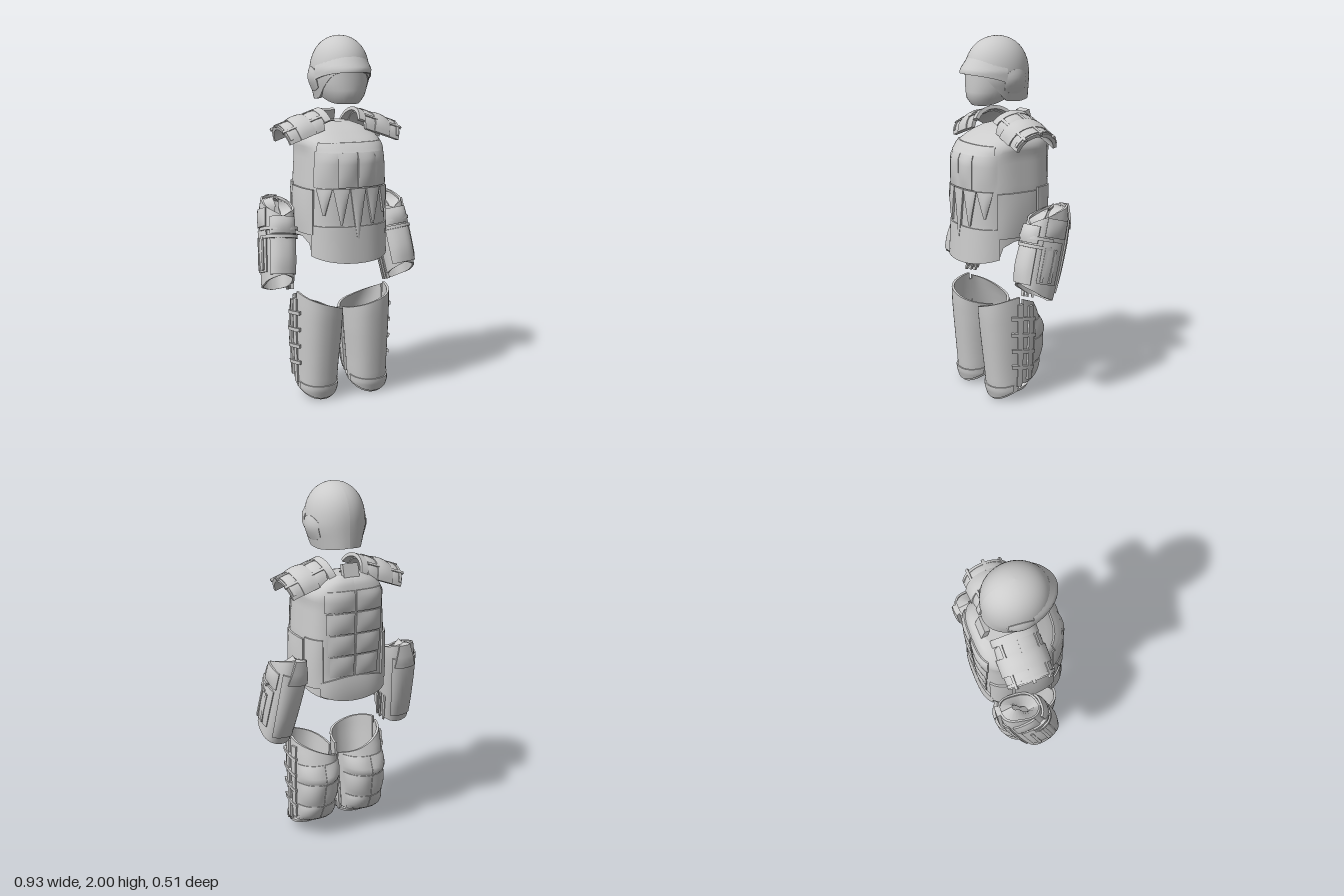
import * as THREE from 'three';

const material = new THREE.MeshStandardMaterial({ color: 0xcccccc });
const PI = Math.PI;

// Piecewise linear curve through [x, y] points
const curve = (...pts) => (x) => {
  let i = 0;
  while (i < pts.length - 2 && x > pts[i + 1][0]) i++;
  const [[x0, y0], [x1, y1]] = [pts[i], pts[i + 1]];
  return y0 + (y1 - y0) * THREE.MathUtils.clamp((x - x0) / (x1 - x0), 0, 1);
};

// Body surface from rows [y, centre x, centre z, half width, front depth, back depth];
// angle 0 faces the front and grows towards +x
function bodySurface(rows, pFront = 2.4, pBack = 2.4) {
  const col = [1, 2, 3, 4, 5].map((c) => curve(...rows.map((r) => [r[0], r[c]])));
  return (a, y, off) => {
    const [cx, cz, rx, rf, rb] = col.map((f) => f(y));
    const s = Math.sin(a), c = Math.cos(a), p = c > 0 ? pFront : pBack;
    const r = (Math.abs(s / rx) ** p + Math.abs(c / (c > 0 ? rf : rb)) ** p) ** (-1 / p) + off;
    return [cx + s * Math.max(r, 0), y, cz + c * Math.max(r, 0)];
  };
}

// Curved plate with thickness, laid on a surface: a = angle range, lo / hi = lower and
// upper edges (numbers or functions of u in -1..1), out = inner and outer offset
function plate(parent, name, surf, a, lo, hi, out, o = {}) {
  const { nu = 10, nv = 6, bulge = 0, pinch = 1, ease = (v) => v } = o;
  const edge = (e, u) => (typeof e === 'function' ? e(u) : e);
  const g = new THREE.BoxGeometry(2, 1, 1, nu, nv, 1);
  const p = g.attributes.position;
  for (let i = 0; i < p.count; i++) {
    const u = p.getX(i), v = p.getY(i) + 0.5, outer = p.getZ(i) > 0;
    const angle = (a[0] + a[1]) / 2 + ((a[1] - a[0]) / 2) * u * (pinch + (1 - pinch) * v);
    const y0 = edge(lo, u), y = y0 + (edge(hi, u) - y0) * ease(v);
    const dome = outer ? bulge * (1 - u * u) * 4 * v * (1 - v) : 0;
    p.setXYZ(i, ...surf(angle, y, (outer ? out[1] : out[0]) + dome));
  }
  g.computeVertexNormals();
  const mesh = new THREE.Mesh(g, material);
  mesh.name = name;
  parent.add(mesh);
}

function group(name, ...children) {
  const g = new THREE.Group();
  g.name = name;
  if (children.length) g.add(...children);
  return g;
}

function helmet() {
  const g = group('helmet');
  const shell = (a, y, off) => {
    const k = THREE.MathUtils.clamp((y - 1.77) / 0.225, 0, 1);
    const r = y > 1.77 ? Math.sqrt(1 - k ** 2.6) : 1 - 1.7 * (1.77 - y);
    const c = Math.cos(a);
    return [Math.sin(a) * (0.157 + off) * r, y + off * k, c * ((c > 0 ? 0.182 : 0.174) + off) * (c < 0 && y < 1.77 ? 1 : r)];
  };
  const hem = curve([0, 1.82], [0.22, 1.79], [0.34, 1.72], [0.43, 1.665], [0.6, 1.655], [1, 1.67]);
  plate(g, 'helmetDome', shell, [-PI, PI], (u) => hem(Math.abs(u)), 1.995, [-0.015, 0.003],
    { nu: 40, nv: 14, ease: (v) => Math.sin((v * PI) / 2) });
  const brow = bodySurface([[1.74, 0, 0, 0.165, 0.21, 0.17], [1.82, 0, 0, 0.163, 0.216, 0.17],
    [1.89, 0, 0, 0.135, 0.165, 0.15]], 2);
  plate(g, 'helmetBrim', brow, [-1.35, 1.35], (u) => 1.805 - 0.045 * u * u, (u) => 1.885 - 0.04 * u * u,
    [-0.03, 0], { nu: 20 });
  const face = bodySurface([[1.635, 0, 0.03, 0.085, 0.12, 0.1], [1.67, 0, 0.01, 0.116, 0.167, 0.1],
    [1.73, 0, 0, 0.142, 0.18, 0.1], [1.84, 0, 0, 0.148, 0.178, 0.1]], 2.2);
  plate(g, 'visor', face, [-1.55, 1.55], (u) => 1.635 + 0.05 * u ** 4, 1.85, [-0.012, 0], { nu: 20 });
  for (const s of [-1, 1]) {
    const a = s > 0 ? [1.3, 2.1] : [-2.1, -1.3];
    plate(g, 'earGuard', shell, a, (u) => 1.70 + 0.02 * u * u, (u) => 1.83 - 0.03 * u * u, [0, 0.006], { bulge: 0.01 });
  }
  return g;
}

function torso() {
  const g = group('torso');
  const body = bodySurface([
    [0.79, 0, 0, 0.238, 0.25, 0.24], [1.0, 0, 0, 0.236, 0.238, 0.232], [1.2, 0, 0, 0.232, 0.24, 0.24],
    [1.37, 0, 0, 0.22, 0.24, 0.243], [1.43, 0, 0, 0.224, 0.19, 0.243], [1.475, 0, -0.01, 0.195, 0.125, 0.225],
    [1.51, 0, -0.05, 0.14, 0.1, 0.17], [1.53, 0, -0.08, 0.09, 0.05, 0.11]], 2.5, 3.5);
  const hem = curve([0, 0.79], [0.2, 0.8], [0.33, 0.825], [0.36, 0.89], [0.45, 0.92], [0.65, 0.91], [0.8, 0.87], [1, 0.85]);
  plate(g, 'vest', body, [-PI, PI], (u) => hem(Math.abs(u)), 1.53, [-0.015, 0], { nu: 72, nv: 30 });
  plate(g, 'neckBase', body, [-PI, PI], 1.515, 1.53, [-0.085, 0], { nu: 24, nv: 1 });
  plate(g, 'bellyPlate', body, [-1.05, 1.05], (u) => 0.79 + 0.035 * u * u, 0.99, [0, 0.008], { nu: 20 });
  // Chest panels, side panels
  for (const s of [-1, 1]) {
    const span = (a, b) => (s > 0 ? [a, b] : [-b, -a]);
    plate(g, 'chestPlate', body, span(0.008, 0.44), 1.2, 1.385, [0, 0.008], { bulge: 0.01 });
    plate(g, 'outerChestPlate', body, span(0.45, 1.0), 1.2, 1.39, [0, 0.006], { bulge: 0.006 });
    plate(g, 'upperChestPlate', body, span(0.0, 0.95), 1.385, 1.435, [-0.005, 0.008], { nv: 3 });
    plate(g, 'sidePlate', body, span(1.0, 1.95), 0.94, 1.185, [0, 0.012], { bulge: 0.006 });
    plate(g, 'rearSidePlate', body, span(2.0, 2.45), 0.93, 1.2, [0, 0.01], { bulge: 0.004 });
  }
  // Pointed belly tongues
  [1.05, 1.0, 0.925, 1.0, 1.05].forEach((y, i) => {
    const c = (i - 2) * 0.37;
    plate(g, 'bellyTongue', body, [c - 0.18, c + 0.18], y, 1.195, [-0.002, 0.01], { nu: 6, pinch: 0.12, bulge: 0.008 });
  });
  // Padded back plates in two columns
  for (const s of [-1, 1]) {
    for (let i = 0; i < 4; i++) {
      const y = 0.99 + i * 0.119, w = 0.56 + 0.035 * i;
      const a = s > 0 ? [PI - w, PI - 0.02] : [PI + 0.02, PI + w];
      plate(g, 'backPlate', body, a, y, y + 0.113, [0, 0.007], { bulge: 0.009 });
    }
  }
  plate(g, 'lowerBackPlate', body, [PI - 0.75, PI + 0.75], (u) => 0.85 + 0.04 * u * u,
    (u) => 0.99 - 0.03 * u * u, [0, 0.012], { nu: 16, bulge: 0.006 });
  const collar = new THREE.Mesh(new THREE.BoxGeometry(0.09, 0.1, 0.03), material);
  collar.name = 'collarBlock';
  collar.position.set(0, 1.54, -0.18);
  collar.rotation.x = 0.3;
  g.add(collar);
  return g;
}

function shoulderPad() {
  const g = group('shoulderPad');
  const arch = (a, t, off) => [t, (0.12 + off) * Math.cos(a) ** 0.8, (0.125 + off) * Math.sin(a)];
  // Overlapping segments stepping outwards
  [[-0.125, -0.03, 0.004], [-0.045, 0.05, 0.012], [0.035, 0.115, 0.004]].forEach(([x0, x1, off], i) => {
    plate(g, 'padSegment', arch, [-1.4, 1.4], (u) => x0 + (i ? 0 : 0.03 * u * u), x1,
      [-0.016, off], { nu: 16, nv: 4, bulge: 0.008 });
  });
  for (const a of [-0.75, 0, 0.75]) plate(g, 'padStrap', arch, [a - 0.06, a + 0.06], -0.11, 0.125, [0, 0.014], { nu: 3 });
  plate(g, 'padRim', arch, [-1.25, 1.25], 0.092, 0.108, [0, 0.012], { nu: 16, nv: 1 });
  plate(g, 'padInnerRim', arch, [-1.3, 1.1], -0.15, -0.11, [-0.01, 0.01], { nu: 16, nv: 1 });
  g.position.set(0.202, 1.435, -0.038);
  g.rotation.z = -0.34;
  return g;
}

function forearm() {
  const g = group('forearmGuard');
  const arm = bodySurface([[-0.26, 0, 0, 0.08, 0.1, 0.108], [-0.1, 0, 0, 0.084, 0.112, 0.12],
    [0.1, 0, 0, 0.086, 0.108, 0.125], [0.2, 0, 0, 0.087, 0.095, 0.118], [0.3, 0, 0, 0.074, 0.08, 0.09]], 2.8, 2.8);
  const lo = curve([0, -0.175], [0.5, -0.225], [1, -0.25]);
  const hi = curve([0, 0.14], [0.5, 0.225], [0.8, 0.27], [1, 0.285]);
  const top = (u) => hi(Math.abs(u)), bottom = (u) => lo(Math.abs(u));
  plate(g, 'forearmShell', arm, [-PI, PI], bottom, top, [-0.012, 0], { nu: 36, nv: 10 });
  // Inset cover closing the elbow end
  plate(g, 'elbowCap', arm, [-PI, PI], (u) => top(u) - 0.03, (u) => top(u) - 0.015, [-0.078, -0.005], { nu: 24, nv: 1 });
  plate(g, 'frontGuard', arm, [-0.7, 0.7], -0.175, 0.02, [0, 0.01], { bulge: 0.008 });
  plate(g, 'elbowGuard', arm, [-0.6, 0.7], 0.045, 0.14, [0, 0.012], { bulge: 0.01 });
  plate(g, 'outerGuard', arm, [0.95, 2.2], -0.16, 0.07, [0, 0.01], { bulge: 0.008 });
  plate(g, 'upperOuterGuard', arm, [1.0, 2.3], 0.09, 0.19, [0, 0.01], { bulge: 0.008 });
  plate(g, 'rearGuard', arm, [PI - 0.65, PI + 0.65], -0.2, 0.2, [0, 0.008], { bulge: 0.01, pinch: 0.8 });
  plate(g, 'elbowFlap', arm, [PI - 0.2, PI + 0.35], 0.15, 0.285, [0, 0.02], { nu: 4, pinch: 1.6 });
  for (const y of [0.03, 0.075])
    plate(g, 'forearmStrap', arm, [-1.0, 1.5], y - 0.009, y + 0.009, [0, 0.018], { nu: 18, nv: 1 });
  for (const a of [1.2, 1.75])
    plate(g, 'outerRib', arm, [a - 0.08, a + 0.08], -0.15, 0.03, [0, 0.02], { nu: 3 });
  for (const a of [-2.2, -1.85, -1.5])
    plate(g, 'innerProng', arm, [a - 0.07, a + 0.07], -0.25, -0.08, [-0.01, 0.008], { nu: 3 });
  g.position.set(0.35, 0.87, -0.05);
  g.rotation.set(-0.28, 0, 0.1);
  return g;
}

function shin() {
  const g = group('shinGuard');
  const leg = bodySurface([[0, 0.155, 0.04, 0.085, 0.09, 0.05], [0.06, 0.155, 0.01, 0.11, 0.14, 0.07],
    [0.12, 0.152, 0, 0.115, 0.155, 0.12], [0.2, 0.15, 0, 0.118, 0.163, 0.158], [0.37, 0.145, 0, 0.128, 0.18, 0.188],
    [0.5, 0.142, 0, 0.132, 0.192, 0.14], [0.61, 0.14, 0, 0.132, 0.195, 0.08]], 2.4, 2.3);
  plate(g, 'shinPlate', leg, [-1.4, 1.35], (u) => 0.003 + 0.06 * u * u,
    (u) => 0.55 + 0.06 * Math.sin(u * 1.4), [-0.014, 0], { nu: 24, nv: 14 });
  plate(g, 'anklePlate', leg, [-1.1, 1.1], (u) => 0.012 + 0.05 * u * u, (u) => 0.085 + 0.015 * u * u,
    [0, 0.008], { nu: 14 });
  plate(g, 'sole', leg, [-PI, PI], (u) => 0.02 + 0.08 * Math.abs(u), (u) => 0.035 + 0.08 * Math.abs(u),
    [-0.15, -0.005], { nu: 24, nv: 1 });
  // Calf shell falls from the outer top edge to the inner one
  const calfTop = (u) => 0.52 - 0.075 * u;
  plate(g, 'calfShell', leg, [1.5, 4.6], 0.1, calfTop, [-0.014, 0], { nu: 24, nv: 12 });
  // Padded calf plates, three rows of two
  [[0.11, 0.205], [0.212, 0.345], [0.352, 0.455]].forEach(([y0, y1]) => {
    for (const a of [[2.1, PI - 0.015], [PI + 0.015, 4.2]])
      plate(g, 'calfPlate', leg, a, y0, y1, [0, 0.004], { bulge: 0.01 });
  });
  // Outer straps with an upright strip on either side
  for (let i = 0; i < 4; i++) {
    const y = 0.2 + i * 0.095;
    plate(g, 'shinStrap', leg, [1.0, 2.05], (u) => y - 0.01 - 0.012 * u, (u) => y + 0.01 - 0.012 * u,
      [0, 0.016], { nu: 8, nv: 1 });
  }
  plate(g, 'strapStrip', leg, [1.25, 1.5], 0.09, 0.57, [-0.01, 0.01], { nu: 3 });
  plate(g, 'strapStrip', leg, [1.75, 2.0], 0.12, 0.55, [-0.01, 0.012], { nu: 3 });
  return g;
}

export function createModel() {
  const model = group('armourSuit', helmet(), torso());
  for (const [name, sx] of [['leftLimbArmour', 1], ['rightLimbArmour', -1]]) {
    const side = group(name, shoulderPad(), forearm(), shin());
    side.scale.x = sx;
    model.add(side);
  }
  return model;
}
